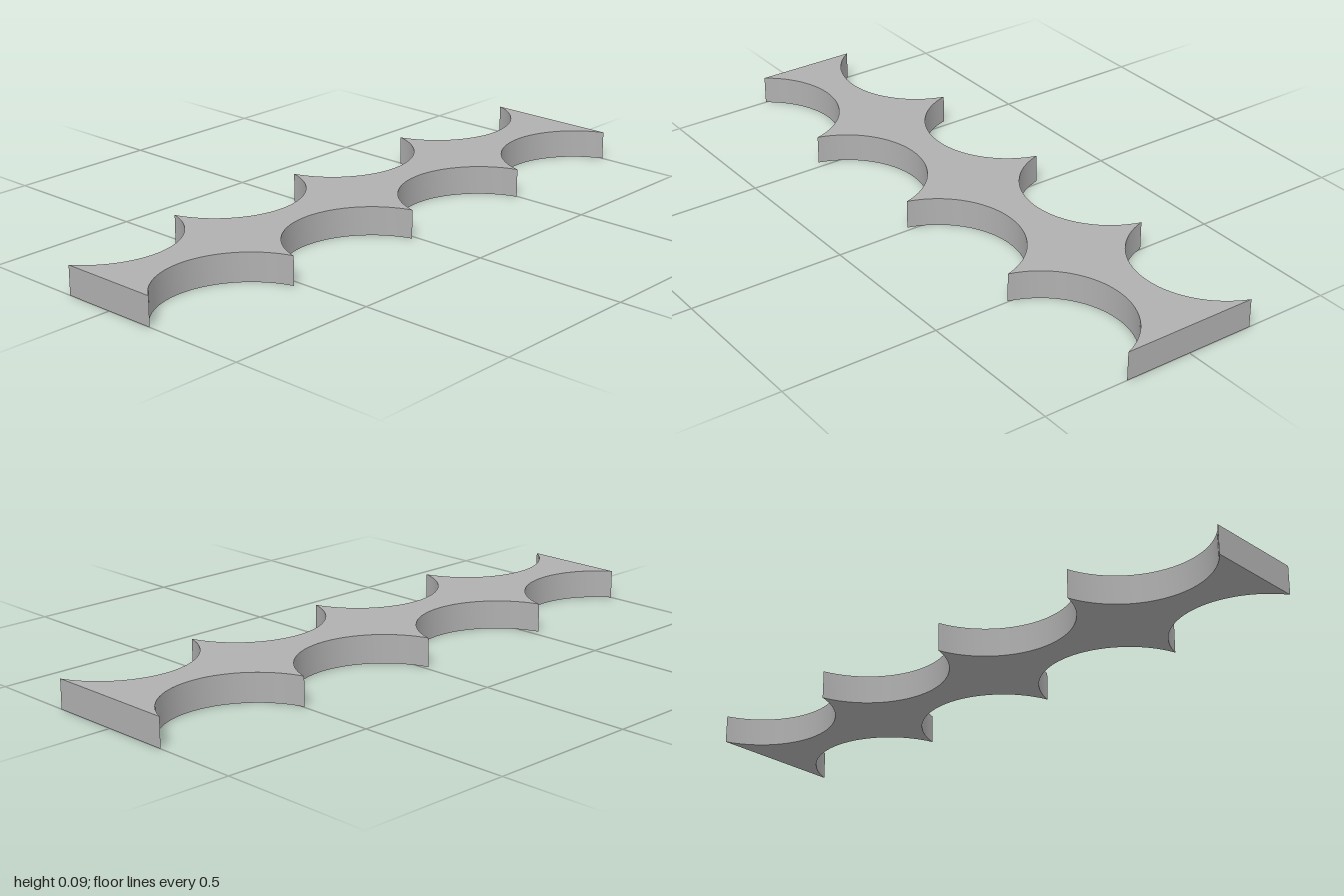
import * as THREE from 'three';
import { toCreasedNormals } from 'three/addons/utils/BufferGeometryUtils.js';

const RADIUS = 0.265;        // radius of every scallop
const OFFSET = 0.317;        // distance of scallop centres from the middle line
const PITCH = 0.5115;        // distance between neighbouring scallops
const FIRST = -0.782;        // x of the first scallop centre
const COUNT = 4;
const HEIGHT = 0.092;
const STEPS = 32;

// One scalloped edge from left to right, clipped at x = -1 and x = 1
function scallopedEdge() {
  const points = [];
  for (let i = 0; i < COUNT; i++) {
    const cx = FIRST + i * PITCH;
    const x0 = Math.max(-1, cx - PITCH / 2);
    const x1 = Math.min(1, cx + PITCH / 2);
    const a0 = Math.acos((x0 - cx) / RADIUS);
    const a1 = Math.acos((x1 - cx) / RADIUS);
    // neighbouring arcs share their cusp point
    for (let s = i === 0 ? 0 : 1; s <= STEPS; s++) {
      const a = a0 + (a1 - a0) * s / STEPS;
      points.push(new THREE.Vector2(cx + RADIUS * Math.cos(a), -OFFSET + RADIUS * Math.sin(a)));
    }
  }
  return points;
}

export function createModel() {
  const group = new THREE.Group();
  group.name = 'scallopedSpacer';

  const grey = new THREE.MeshStandardMaterial({ color: 0xb0b0b0 });
  grey.name = 'grey';

  // Outline: front edge, then the mirrored back edge
  const front = scallopedEdge();
  const back = front.map((p) => new THREE.Vector2(p.x, -p.y)).reverse();
  const shape = new THREE.Shape([...front, ...back]);

  // Flat bar with smooth scallop walls and sharp edges
  const geometry = new THREE.ExtrudeGeometry(shape, { depth: HEIGHT, bevelEnabled: false });
  geometry.rotateX(-Math.PI / 2);
  const bar = new THREE.Mesh(toCreasedNormals(geometry, 0.5), grey);
  bar.name = 'scallopedBar';
  group.add(bar);

  return group;
}
